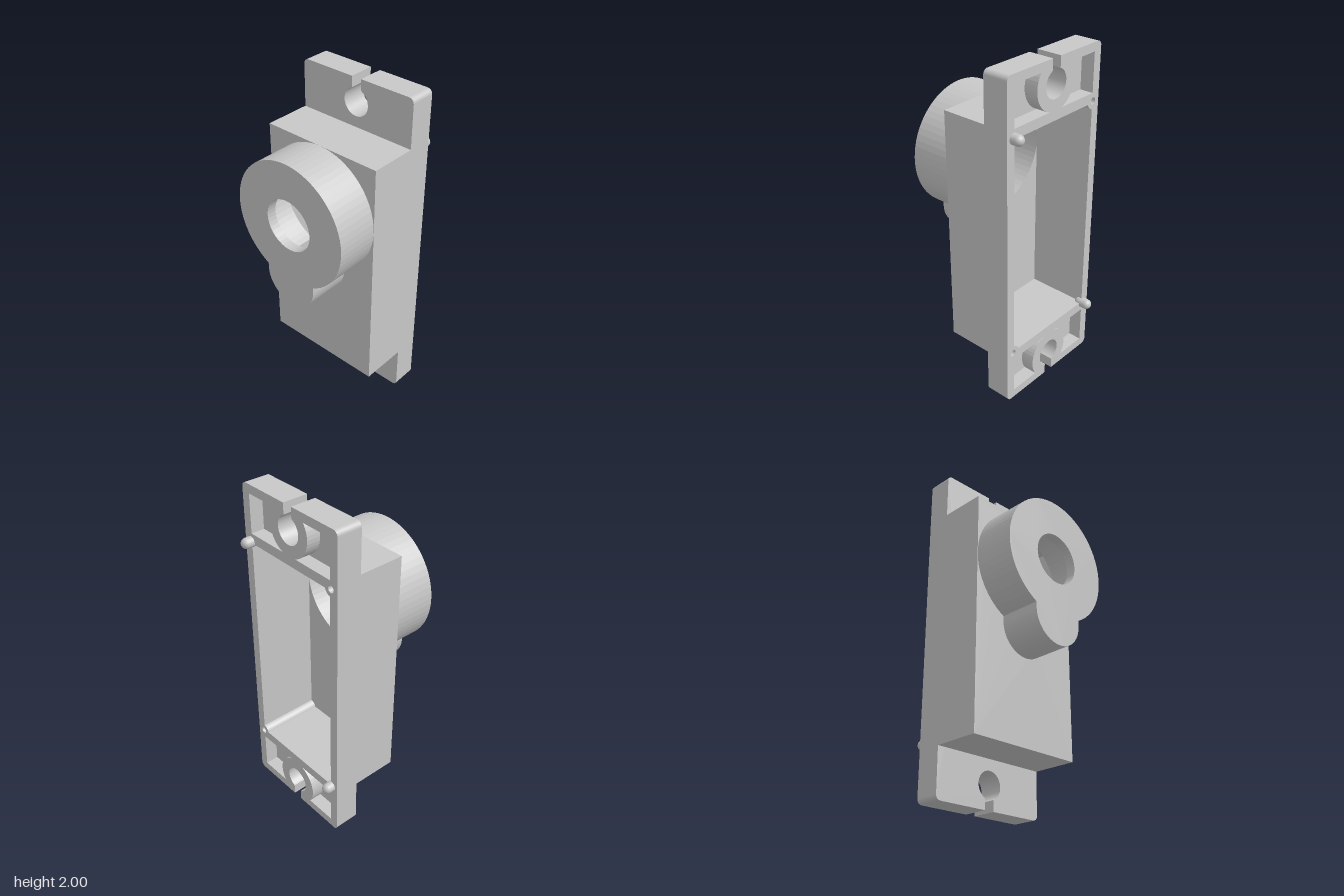
import * as THREE from 'three';

const PI = Math.PI;
const W = 0.373;            // half width of the case
const BOSS_Y = 1.343;       // axis of the output boss
const LOBE_Y = 0.98;        // axis of the small lobe below it

// Flange outline: rounded rectangle with a keyhole slot at each end
function flangeShape() {
  const c = 0.03, w = 0.031, r = 0.081, a = Math.acos(w / r);
  const s = new THREE.Shape();
  s.moveTo(w, 0);
  s.lineTo(W - c, 0);
  s.absarc(W - c, c, c, -PI / 2, 0, false);
  s.absarc(W - c, 2 - c, c, 0, PI / 2, false);
  s.lineTo(w, 2);
  s.absarc(0, 1.86, r, a, PI - a, true);
  s.lineTo(-w, 2);
  s.absarc(-W + c, 2 - c, c, PI / 2, PI, false);
  s.absarc(-W + c, c, c, PI, PI * 1.5, false);
  s.lineTo(-w, 0);
  s.absarc(0, 0.14, r, PI + a, -a, true);
  return s;
}

// Rectangular cavity with round screw columns in two opposite corners
function cavityPath() {
  const p = new THREE.Path();
  p.moveTo(0.318, 1.66);
  p.lineTo(-0.28, 1.66);
  p.absarc(-0.325, 1.67, 0.045, -0.224, -1.414, true);
  p.lineTo(-0.318, 0.34);
  p.absarc(0.325, 0.33, 0.045, PI - 0.224, PI - 1.414, true);
  return p;
}

// Large circle joined to a small lobe
function bossOutline(Type, R, r) {
  const a = Math.acos(r / R);
  const s = new Type();
  s.absarc(0, BOSS_Y, R, -a, PI + a, false);
  s.lineTo(-r, LOBE_Y);
  s.absarc(0, LOBE_Y, r, PI, PI * 2, false);
  return s;
}

// Closed polygon through a list of [x, y] corners
function polygon(Type, corners) {
  return new Type(corners.map(([x, y]) => new THREE.Vector2(x, y)));
}

function circlePath(x, y, r) {
  const n = 40;
  return polygon(THREE.Path, Array.from({ length: n }, (_, i) =>
    [x + r * Math.cos(i * 2 * PI / n), y + r * Math.sin(i * 2 * PI / n)]));
}

// Pocket beside a mounting ring; sx and top choose the corner
function pocketPath(sx, top) {
  const R = 0.15, pts = [[0.318, 1.718], [0.318, 1.948]];
  const a0 = Math.asin(0.088 / R), a1 = -Math.asin(0.142 / R);
  for (let i = 0; i <= 12; i++) {
    const a = a0 + (a1 - a0) * i / 12;
    pts.push([R * Math.cos(a), 1.86 + R * Math.sin(a)]);
  }
  return polygon(THREE.Path, pts.map(([x, y]) => [sx * x, top ? y : 2 - y]));
}

export function createModel() {
  const group = new THREE.Group();
  const grey = new THREE.MeshStandardMaterial({ color: 0xc8c8c8 });
  grey.name = 'grey plastic';

  const add = (name, geometry) => {
    const mesh = new THREE.Mesh(geometry, grey);
    mesh.name = name;
    group.add(mesh);
    return mesh;
  };
  const layer = (name, shape, holes, z0, z1) => {
    shape.holes.push(...holes);
    const g = new THREE.ExtrudeGeometry(shape, { depth: z1 - z0, bevelEnabled: false, curveSegments: 28 });
    g.translate(0, 0, z0);
    add(name, g);
  };
  const bodyShape = () => polygon(THREE.Shape, [[-W, 0.288], [W, 0.288], [W, 1.715], [-W, 1.715]]);

  // Flange: a solid front layer and a rear layer with pockets and screw holes
  layer('flangeFront', flangeShape(), [cavityPath()], -0.23, -0.16);
  const pockets = [];
  for (const sx of [-1, 1]) for (const top of [true, false]) pockets.push(pocketPath(sx, top));
  layer('flangeBack', flangeShape(), [
    cavityPath(), ...pockets,
    circlePath(-0.325, 1.67, 0.02), circlePath(0.325, 0.33, 0.02),
  ], -0.312, -0.23);

  // Hollow body and its front wall
  layer('bodyWalls', bodyShape(), [cavityPath()], -0.16, 0.07);
  layer('bodyFront', bodyShape(), [bossOutline(THREE.Path, 0.32, 0.12)], 0.07, 0.12);

  // Hollow output boss with a round shaft opening
  layer('bossWall', bossOutline(THREE.Shape, 0.372, 0.17),
    [bossOutline(THREE.Path, 0.32, 0.12)], 0.12, 0.315);
  layer('bossCap', bossOutline(THREE.Shape, 0.372, 0.17),
    [circlePath(0, BOSS_Y, 0.154)], 0.315, 0.373);

  // Locating pins on the two corners without screw holes
  for (const [x, y] of [[0.325, 1.668], [-0.325, 0.335]]) {
    const pin = add('locatingPin', new THREE.CapsuleGeometry(0.031, 0.048, 8, 20));
    pin.rotation.x = PI / 2;
    pin.position.set(x, y, -0.32);
  }

  // Small dome on the inside of the front wall
  const dome = add('innerDome', new THREE.SphereGeometry(0.07, 14, 6, 0, PI * 2, 0, PI / 2));
  dome.rotation.x = -PI / 2;
  dome.position.set(0.01, 0.59, 0.07);

  return group;
}
